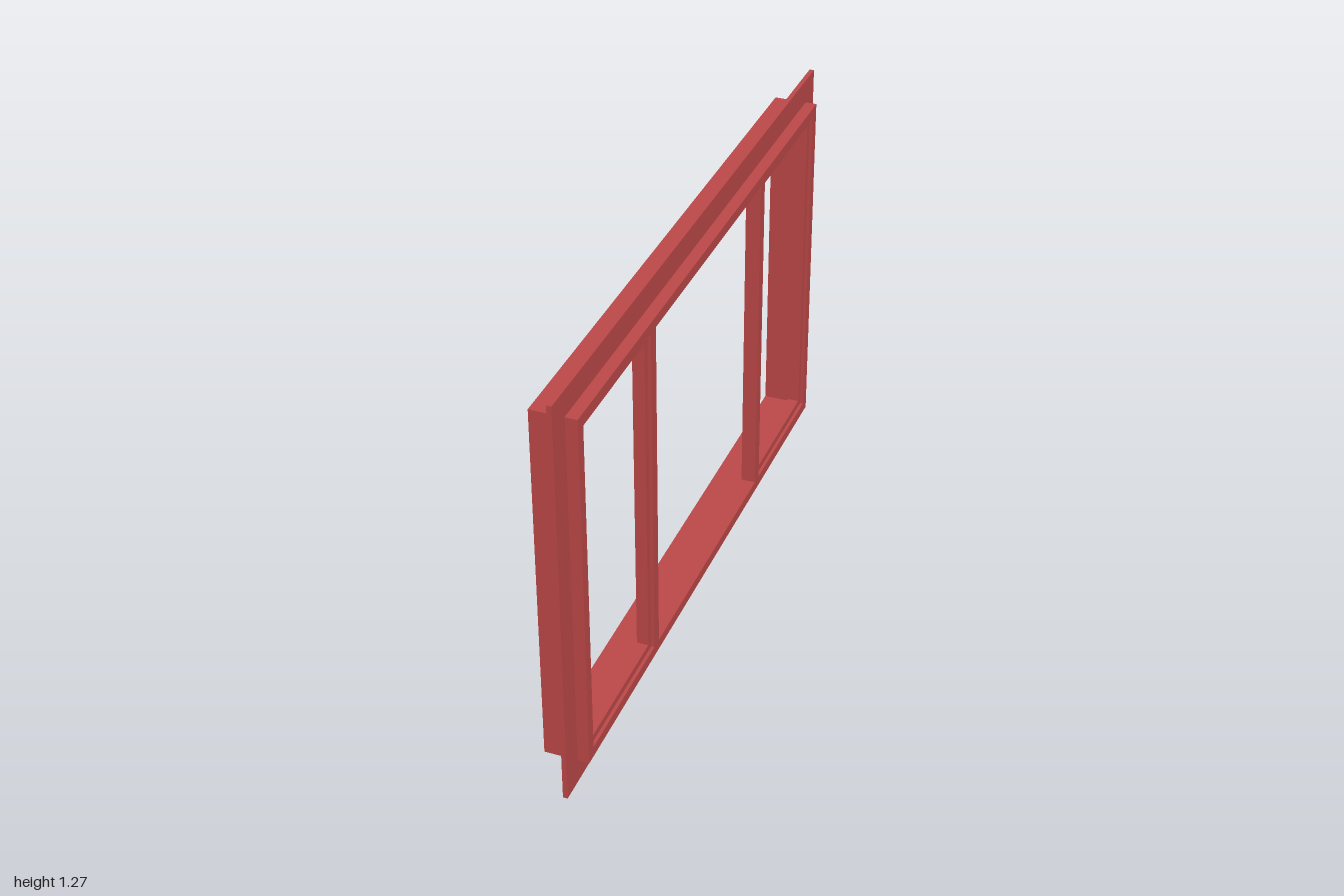
import * as THREE from 'three';

const material = new THREE.MeshStandardMaterial({ color: 0xbe4848 });

// Counter-clockwise outline in the z-y plane
function rectangle(target, z0, z1, y0, y1) {
  target.moveTo(-z1, y0);
  target.lineTo(-z0, y0);
  target.lineTo(-z0, y1);
  target.lineTo(-z1, y1);
  target.closePath();
  return target;
}

// Rectangular ring in the z-y plane, from x0 to x1; border = width of each side
function ring(name, [z0, z1, y0, y1], border, x0, x1) {
  const shape = rectangle(new THREE.Shape(), z0, z1, y0, y1);
  shape.holes.push(rectangle(new THREE.Path(), z0 + border, z1 - border, y0 + border, y1 - border));
  const geometry = new THREE.ExtrudeGeometry(shape, { depth: x1 - x0, bevelEnabled: false });
  geometry.rotateY(Math.PI / 2).translate(x0, 0, 0);
  const mesh = new THREE.Mesh(geometry, material);
  mesh.name = name;
  return mesh;
}

export function createModel() {
  const group = new THREE.Group();
  group.name = 'slidingWindow';

  // Thin mounting flange around the deep main frame
  group.add(ring('mountingFlange', [-1, 1, 0, 1.266], 0.075, 0.017, 0.031));
  group.add(ring('mainFrame', [-0.927, 0.927, 0.075, 1.19], 0.032, -0.067, 0.065));

  for (const side of [1, -1]) {
    const label = side > 0 ? 'front' : 'back';

    // Upright between the middle and side openings
    const mullion = new THREE.Mesh(new THREE.BoxGeometry(0.045, 1.053, 0.035), material);
    mullion.name = label + 'Mullion';
    mullion.position.set(0.0425, 0.6325, side * 0.4315);
    group.add(mullion);

    // Narrow sash set inside the side opening
    const ends = [side * 0.449, side * 0.896].sort((a, b) => a - b);
    group.add(ring(label + 'Sash', [...ends, 0.106, 1.159], 0.022, 0.02, 0.055));
  }
  return group;
}
